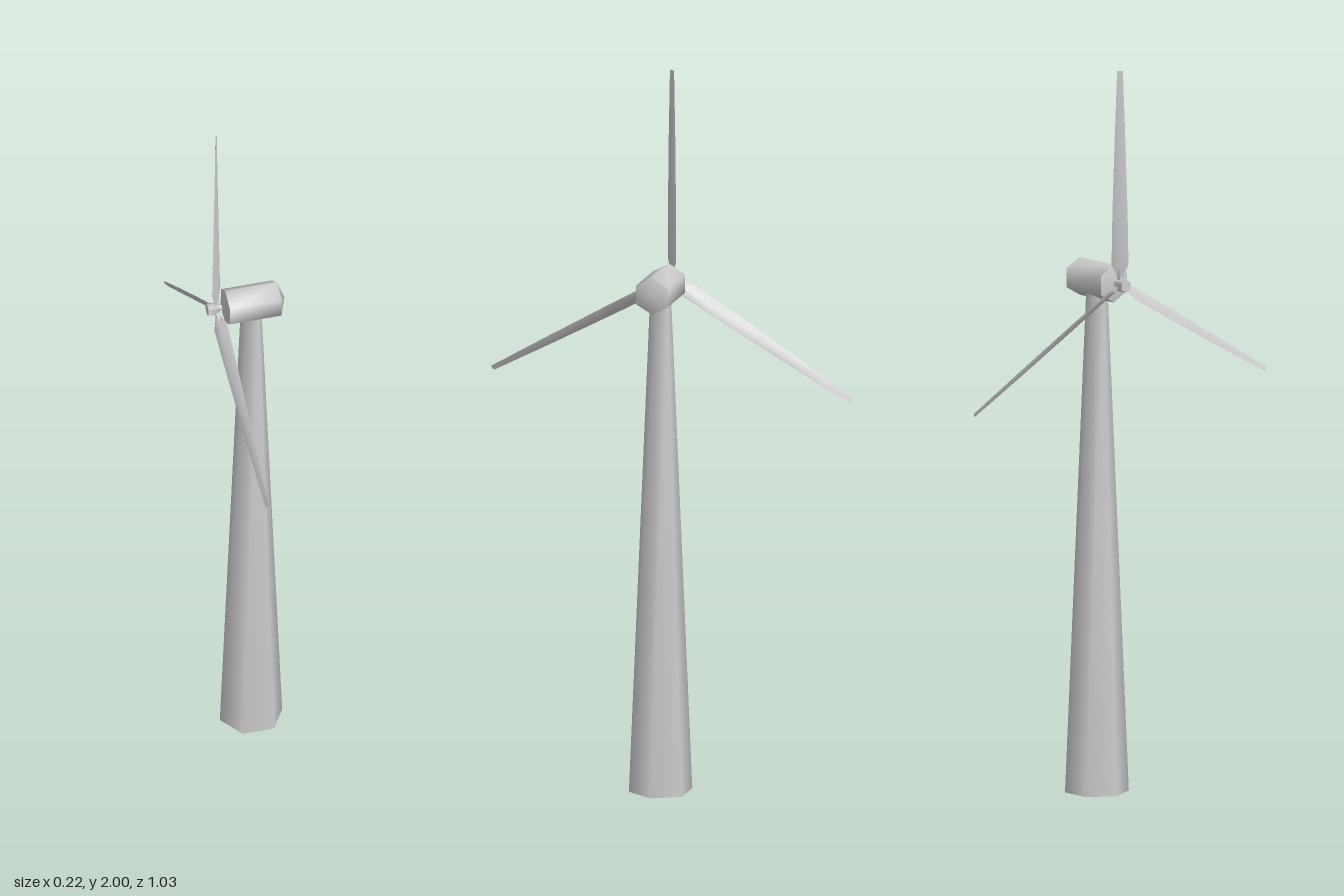
import * as THREE from 'three';
import { toCreasedNormals } from 'three/addons/utils/BufferGeometryUtils.js';

const SIDES = 6;
const HUB_Y = 1.41;
const ROTOR_X = -0.085;

export function createModel() {
  const model = new THREE.Group();
  model.name = 'windTurbine';
  const grey = new THREE.MeshStandardMaterial({ color: 0xcccccc });

  function add(geometry, name, parent = model) {
    const mesh = new THREE.Mesh(toCreasedNormals(geometry, 1.1), grey);
    mesh.name = name;
    parent.add(mesh);
    return mesh;
  }

  // Six-sided solid turned about the x axis; profile is [x, radius] from -x to +x
  function turnedAlongX(profile) {
    const points = profile.map(([x, r]) => new THREE.Vector2(r, x));
    return new THREE.LatheGeometry(points, SIDES, Math.PI / 2).rotateZ(-Math.PI / 2);
  }

  // Tapered tower with a corner towards +x
  const tower = add(new THREE.CylinderGeometry(0.029, 0.0875, 1.39, SIDES, 1, false, Math.PI / 2), 'tower');
  tower.position.set(0.013, 0.695, 0);

  // Nacelle with shallow pointed ends
  const nacelle = add(turnedAlongX([[-0.072, 0], [-0.059, 0.0525], [0.086, 0.0525], [0.107, 0]]), 'nacelle');
  nacelle.position.y = HUB_Y;

  // Rotor: hub, shaft and three blades
  const rotor = new THREE.Group();
  rotor.name = 'rotor';
  rotor.position.set(ROTOR_X, HUB_Y, 0);
  model.add(rotor);
  add(turnedAlongX([[-0.025, 0], [-0.025, 0.018], [0.006, 0.018], [0.006, 0]]), 'hub', rotor);
  add(turnedAlongX([[0, 0], [0, 0.009], [0.03, 0.009], [0.03, 0]]), 'shaft', rotor);

  const blade = bladeGeometry();
  for (let i = 0; i < 3; i++) {
    const mesh = add(blade, 'blade' + (i + 1), rotor);
    mesh.rotation.x = (i * Math.PI * 2) / 3;
  }
  return model;
}

// Twisted blade rising along +y, lofted from lens-shaped sections
function bladeGeometry() {
  // distance from axis, half chord, half thickness, twist from the x axis
  const sections = [
    [0.008, 0.007, 0.007, 0.8],
    [0.025, 0.009, 0.007, 0.8],
    [0.055, 0.023, 0.006, 0.82],
    [0.2, 0.0205, 0.005, 0.88],
    [0.4, 0.0145, 0.0035, 0.98],
    [0.59, 0.008, 0.002, 1.1],
  ];
  const n = 4;
  const positions = [];
  const index = [];
  sections.forEach(([y, chord, thick, twist], s) => {
    for (let k = 0; k < n; k++) {
      const a = (k / n) * Math.PI * 2;
      const u = Math.cos(a) * chord;
      const v = -Math.sin(a) * thick;
      positions.push(
        u * Math.cos(twist) + v * Math.sin(twist),
        y,
        -u * Math.sin(twist) + v * Math.cos(twist)
      );
      if (s === 0) continue;
      const upper = s * n;
      const lower = upper - n;
      const next = (k + 1) % n;
      index.push(lower + k, lower + next, upper + next, lower + k, upper + next, upper + k);
    }
  });
  // End caps
  const top = (sections.length - 1) * n;
  index.push(0, 2, 1, 0, 3, 2, top, top + 1, top + 2, top, top + 2, top + 3);

  const geometry = new THREE.BufferGeometry();
  geometry.setAttribute('position', new THREE.Float32BufferAttribute(positions, 3));
  geometry.setIndex(index);
  geometry.computeVertexNormals();
  return geometry;
}
